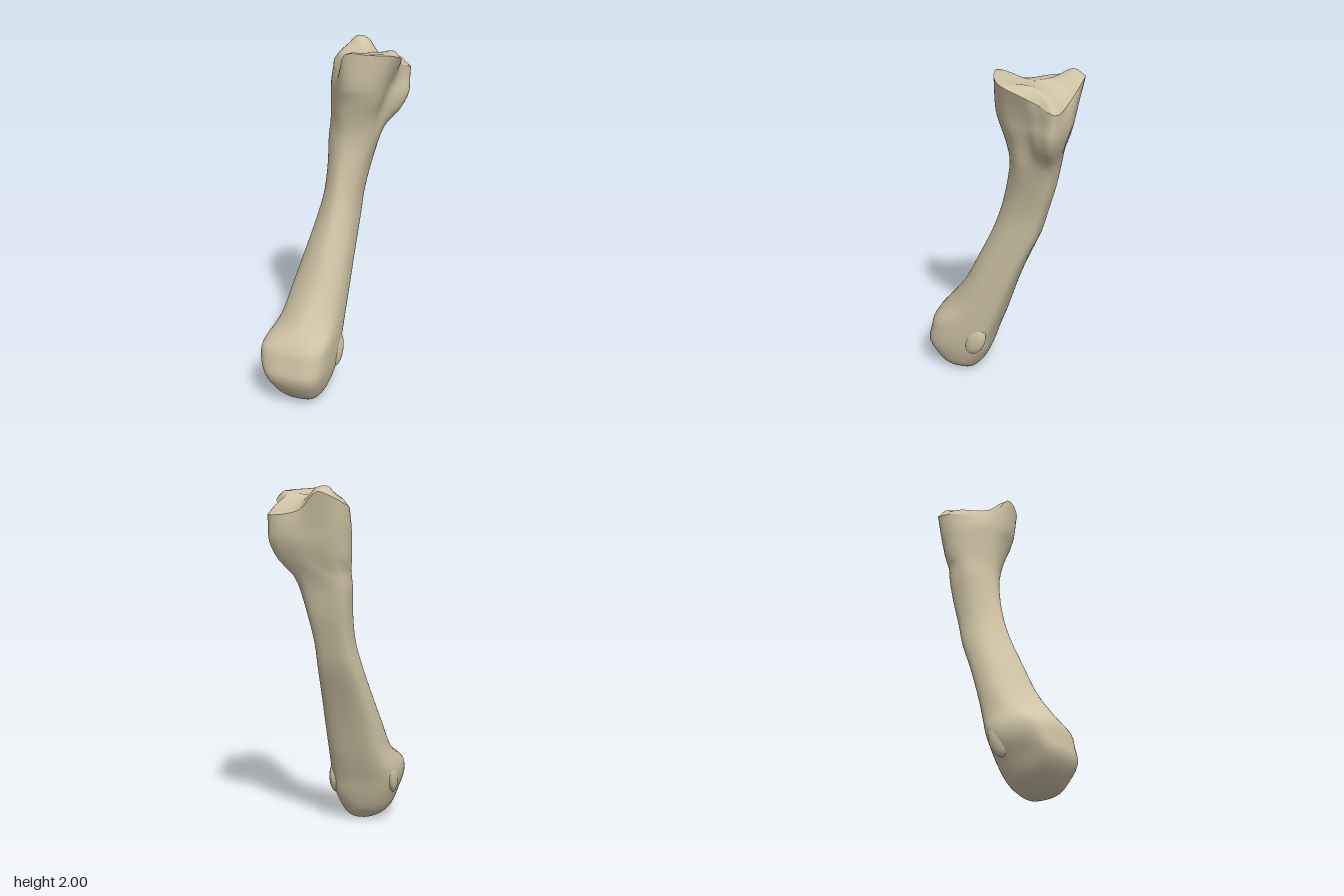
import * as THREE from 'three';

const SEG = 48; // samples around each ring
const V = (x, y, z) => new THREE.Vector3(x, y, z);

// Ring rows: y, xMin, xMax, ridge x, zMin, zMax
// Corner squareness per group: front +x, back +x, back -x, front -x
const tipCorners = [2.8, 2.7, 2.5, 2.9];
const tip = [
  [0.004, -0.12, -0.01, -0.065, 0.2, 0.32],
  [0.03, -0.185, 0.03, -0.07, 0.165, 0.38],
  [0.08, -0.237, 0.06, -0.08, 0.125, 0.425],
];
const knuckleCorners = [3.3, 4.2, 3, 3.9];
const knuckle = [
  [0.18, -0.275, 0.087, -0.09, 0.085, 0.474],
  [0.27, -0.305, 0.097, -0.1, 0.058, 0.459],
  [0.35, -0.302, 0.1, -0.1, 0.027, 0.437],
];
const shaftCorners = [1.9, 4, 3.4, 1.6];
const shaft = [
  [0.46, -0.255, 0.1, -0.07, -0.013, 0.355],
  [0.62, -0.222, 0.1, -0.035, -0.068, 0.235],
  [0.8, -0.18, 0.1, -0.02, -0.14, 0.145],
  [1.0, -0.137, 0.1, -0.005, -0.228, 0.05],
  [1.14, -0.112, 0.105, 0.005, -0.27, -0.002],
  [1.3, -0.108, 0.133, 0.015, -0.315, -0.042],
  [1.47, -0.113, 0.178, 0.03, -0.348, -0.068],
];

// Upper head outlines as x, z pairs, from the front towards +x
const head = [
  [1.6, [0.02, -0.06, 0.122, -0.068, 0.182, -0.13, 0.2, -0.22, 0.245, -0.29, 0.258, -0.36,
    0.15, -0.395, 0.05, -0.39, -0.045, -0.375, -0.104, -0.333, -0.117, -0.24, -0.06, -0.13]],
  [1.7, [0.03, -0.042, 0.155, -0.048, 0.22, -0.115, 0.225, -0.22, 0.268, -0.29, 0.306, -0.377,
    0.165, -0.427, 0.05, -0.42, -0.05, -0.4, -0.106, -0.352, -0.12, -0.25, -0.06, -0.13]],
  [1.78, [0.05, -0.015, 0.18, -0.035, 0.242, -0.11, 0.248, -0.23, 0.267, -0.3, 0.307, -0.388,
    0.16, -0.433, 0.04, -0.432, -0.055, -0.415, -0.107, -0.37, -0.12, -0.26, -0.045, -0.11]],
];
const rimXZ = [0.06, -0.003, 0.2, -0.03, 0.292, -0.1, 0.308, -0.23, 0.278, -0.295, 0.306, -0.4,
  0.13, -0.427, 0.015, -0.47, -0.055, -0.447, -0.097, -0.4, -0.112, -0.27, -0.005, -0.09];
const rimY = [1.972, 1.972, 1.962, 1.92, 1.88, 1.845, 1.868, 1.968, 1.945, 1.915, 1.88, 1.85];
const innerY = [1.972, 1.972, 1.967, 1.965, 1.945, 1.9, 1.91, 1.988, 1.998, 1.96, 1.93, 1.92];

// Twelve control points of a ring whose four quarters have their own squareness
function ovalRing([y, x0, x1, ridge, z0, z1], corners) {
  return Array.from({ length: 12 }, (_, i) => {
    const a = (i / 12) * Math.PI * 2, s = Math.sin(a), c = Math.cos(a);
    const power = 2 / corners[Math.floor(i / 3)];
    const dx = Math.abs(s) ** power * (s > 0 ? x1 - ridge : x0 - ridge);
    const dz = Math.abs(c) ** power * Math.sign(c) * (z1 - z0) / 2;
    return V(ridge + dx, y, (z0 + z1) / 2 + dz);
  });
}

function outlineRing(xz, yAt) {
  return Array.from({ length: 12 }, (_, i) => V(xz[i * 2], yAt(i), xz[i * 2 + 1]));
}

// Smooth surface through a stack of rings
function loft(rings, steps) {
  const smooth = rings.map((r) => {
    const curve = new THREE.CatmullRomCurve3(r, true, 'centripetal');
    return Array.from({ length: SEG }, (_, j) => curve.getPoint(j / SEG));
  });
  const rows = (rings.length - 1) * steps;
  const pos = new Float32Array((rows + 1) * SEG * 3);
  for (let j = 0; j < SEG; j++) {
    const column = new THREE.CatmullRomCurve3(smooth.map((r) => r[j]), false, 'centripetal');
    for (let i = 0; i <= rows; i++) column.getPoint(i / rows).toArray(pos, (i * SEG + j) * 3);
  }
  const index = [];
  for (let i = 0; i < rows; i++) {
    for (let j = 0; j < SEG; j++) {
      const k = (j + 1) % SEG;
      const a = i * SEG + j, b = i * SEG + k, c = a + SEG, d = b + SEG;
      index.push(a, b, d, a, d, c);
    }
  }
  const g = new THREE.BufferGeometry();
  g.setAttribute('position', new THREE.BufferAttribute(pos, 3));
  g.setIndex(index);
  g.computeVertexNormals();
  return g;
}

export function createModel() {
  const group = new THREE.Group();
  group.name = 'longBone';
  const bone = new THREE.MeshStandardMaterial({ color: 0xcfc3a5 });
  bone.name = 'bone';
  const add = (name, geometry) => {
    const mesh = new THREE.Mesh(geometry, bone);
    mesh.name = name;
    group.add(mesh);
    return mesh;
  };

  // Body from the underside of the knuckle to the rim of the head
  const rim = outlineRing(rimXZ, (i) => rimY[i]);
  add('body', loft([
    ovalRing([0, -0.067, -0.063, -0.065, 0.258, 0.262], tipCorners),
    ...tip.map((row) => ovalRing(row, tipCorners)),
    ...knuckle.map((row) => ovalRing(row, knuckleCorners)),
    ...shaft.map((row) => ovalRing(row, shaftCorners)),
    ...head.map(([y, xz]) => outlineRing(xz, () => y)),
    rim,
  ], 3));

  // Uneven joint face on top, sharing the rim
  const centre = V(0.1, 1.945, -0.22);
  const inner = rim.map((p, i) => p.clone().lerp(centre, 0.22).setY(innerY[i]));
  const middle = rim.map((p, i) => p.clone().lerp(centre, 0.6).setY((innerY[i] + centre.y * 3) / 4));
  const hub = rim.map((p) => p.clone().lerp(centre, 0.99).setY(centre.y));
  add('jointFace', loft([rim, inner, middle, hub], 3));

  // Low side bumps on the knuckle
  for (const [name, x, y, z] of [['rightBump', -0.268, 0.28, 0.16], ['leftBump', 0.075, 0.26, 0.14]]) {
    const bump = add(name, new THREE.SphereGeometry(1, 20, 14));
    bump.position.set(x, y, z);
    bump.scale.set(0.033, 0.1, 0.06);
    bump.rotation.x = -0.4;
  }
  return group;
}
